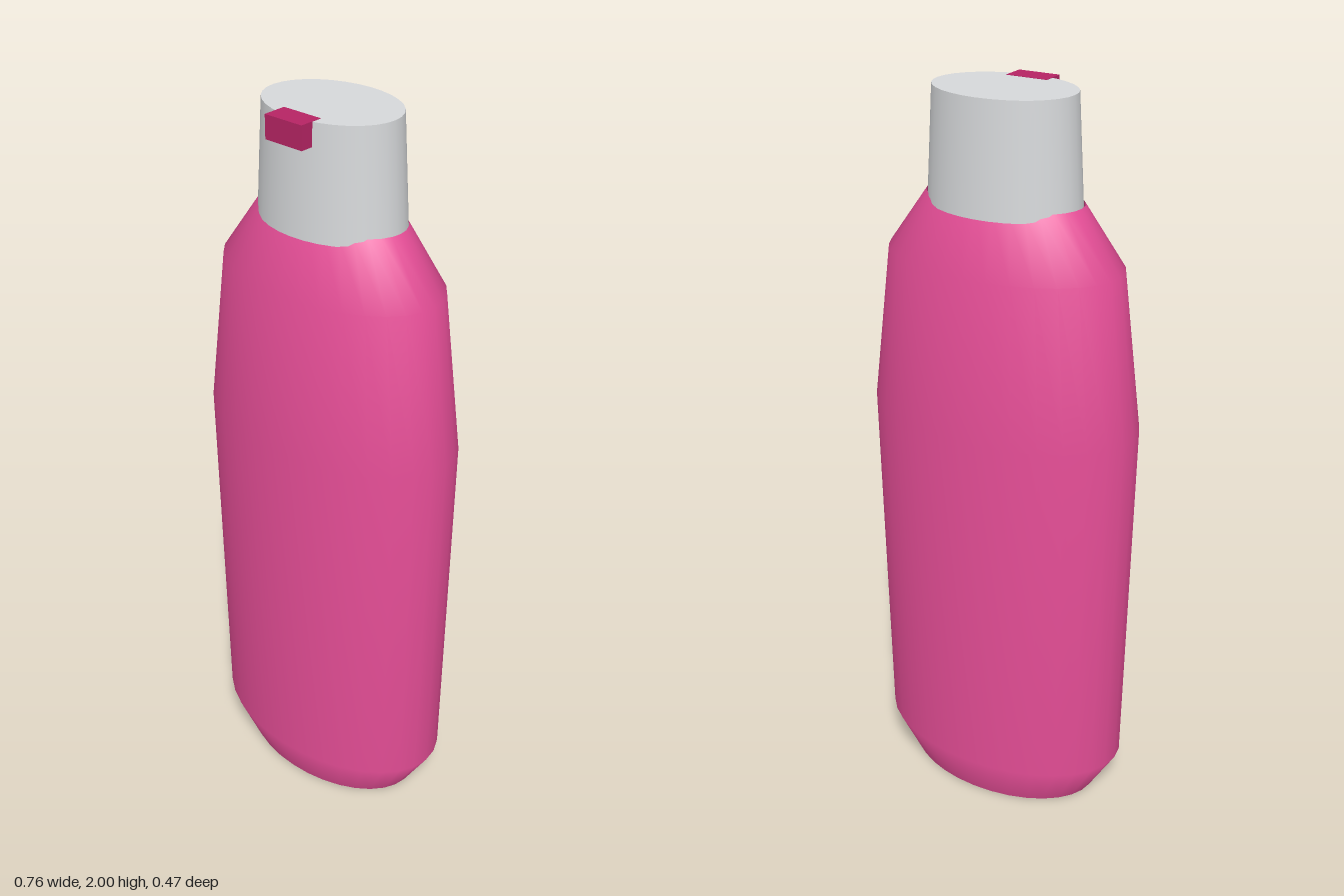
import * as THREE from 'three';

export function createModel() {
  const group = new THREE.Group();
  group.name = 'bottle';

  const pink = new THREE.MeshStandardMaterial({ color: 0xe64e97, side: THREE.DoubleSide });
  pink.name = 'pink';
  const grey = new THREE.MeshStandardMaterial({ color: 0xd6d8da });
  grey.name = 'light grey';
  const crimson = new THREE.MeshStandardMaterial({ color: 0xb62464 });
  crimson.name = 'crimson';

  const add = (name, geometry, material, y = 0, z = 0) => {
    const mesh = new THREE.Mesh(geometry, material);
    mesh.name = name;
    mesh.position.set(0, y, z);
    group.add(mesh);
  };

  // Oval shell, open at the base and the neck
  const profile = [[0.287, 0], [0.364, 0.13], [0.38, 1.15], [0.326, 1.575], [0.215, 1.73]]
    .map(([r, y]) => new THREE.Vector2(r, y));
  add('body', new THREE.LatheGeometry(profile, 32).scale(1, 1, 0.618), pink);

  // Tapered oval cap, slightly overhanging the neck at front and back
  const capBottom = 1.71, capTop = 1.999;
  const cap = new THREE.CylinderGeometry(0.19, 0.207, capTop - capBottom, 32).scale(1, 1, 0.725);
  add('cap', cap, grey, (capBottom + capTop) / 2);

  // Small spout at the front of the cap
  add('spout', new THREE.BoxGeometry(0.114, 0.06, 0.064), crimson, 1.97, 0.135);

  return group;
}
